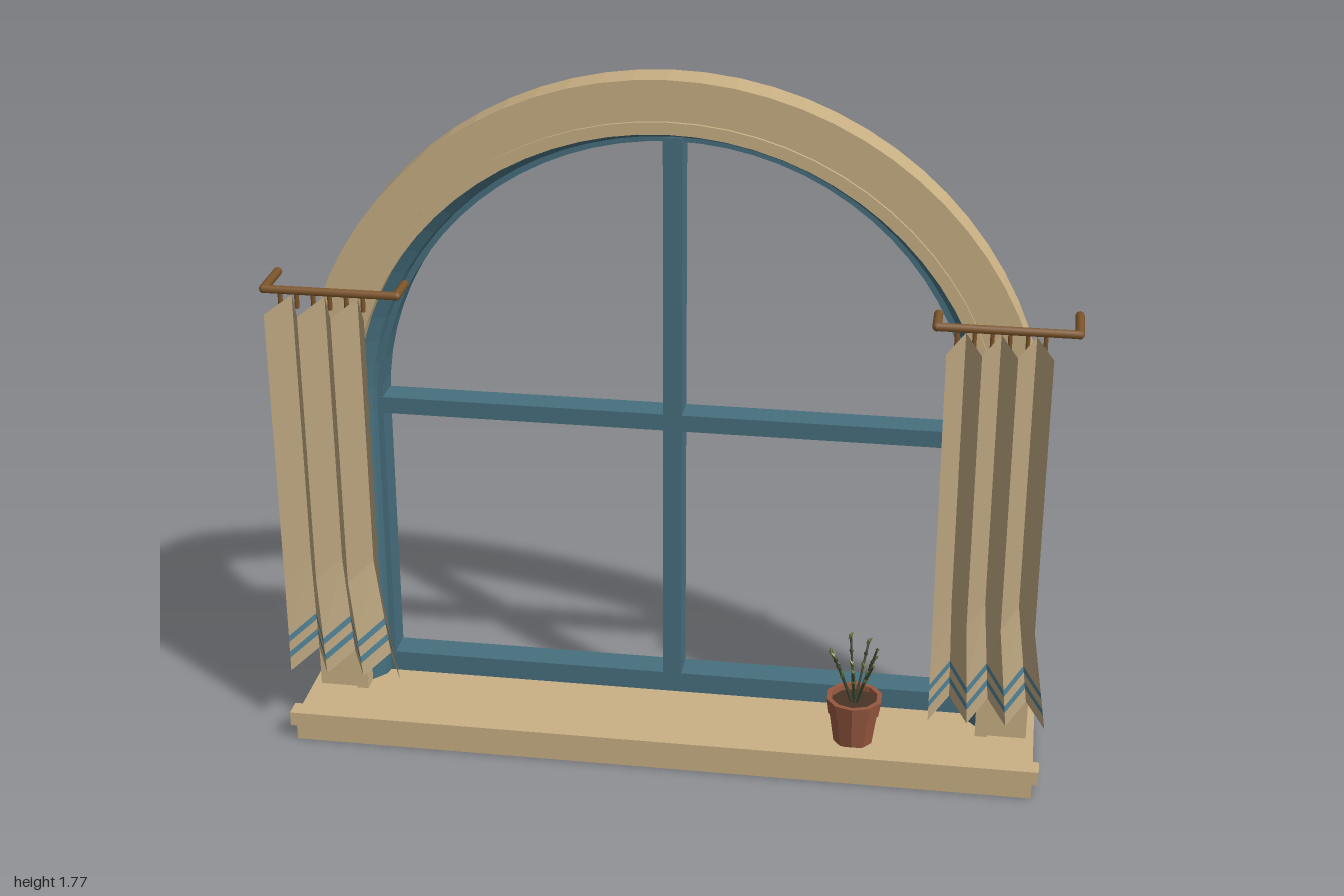
import * as THREE from 'three';

const material = (name, color, side = THREE.FrontSide) => {
  const m = new THREE.MeshStandardMaterial({ color, side });
  m.name = name;
  return m;
};

export function createModel() {
  const stone = material('sandstone', 0xc9b084);
  const blue = material('blue paint', 0x47707f);
  const cloth = material('curtain cloth', 0xbba580, THREE.DoubleSide);
  const stripe = material('curtain stripe', 0x4f7f92, THREE.DoubleSide);
  const bronze = material('bronze', 0x7d552a);
  const clay = material('terracotta', 0x96573f);
  const soilMat = material('soil', 0x4a3527);
  const stemMat = material('dark stem', 0x3c4630);
  const leafMat = material('leaf green', 0x66743f);

  const model = new THREE.Group();
  model.name = 'archedWindow';

  const add = (parent, name, geometry, mat, x = 0, y = 0, z = 0) => {
    const mesh = new THREE.Mesh(geometry, mat);
    mesh.name = name;
    mesh.position.set(x, y, z);
    parent.add(mesh);
    return mesh;
  };
  // box given by its two extreme corners
  const box = (parent, name, mat, [x0, y0, z0], [x1, y1, z1]) =>
    add(parent, name, new THREE.BoxGeometry(x1 - x0, y1 - y0, z1 - z0), mat,
      (x0 + x1) / 2, (y0 + y1) / 2, (z0 + z1) / 2);
  const flat = (geometry) => {
    const g = geometry.index ? geometry.toNonIndexed() : geometry;
    g.computeVertexNormals();
    return g;
  };

  // sheet through rows of points; the rows must have equal length
  const loft = (rows, closed) => {
    const n = rows[0].length, pos = [], index = [];
    rows.forEach((row) => row.forEach((p) => pos.push(...p)));
    for (let i = 0; i < rows.length - 1; i++) {
      for (let j = 0; j < (closed ? n : n - 1); j++) {
        const a = i * n + j, b = i * n + (j + 1) % n;
        index.push(a, b, b + n, a, b + n, a + n);
      }
    }
    const g = new THREE.BufferGeometry();
    g.setAttribute('position', new THREE.Float32BufferAttribute(pos, 3));
    g.setIndex(index);
    return flat(g);
  };

  // profile of [radius, z] swept up one leg, over the arch and down the other
  const SPRING = 0.84, ARC = 36;
  const archSweep = (name, profile, mat) => {
    const rows = [profile.map(([r, z]) => [r, 0.06, z])];
    for (let i = 0; i <= ARC; i++) {
      const a = (i / ARC) * Math.PI;
      rows.push(profile.map(([r, z]) => [r * Math.cos(a), SPRING + r * Math.sin(a), z]));
    }
    rows.push(profile.map(([r, z]) => [-r, 0.06, z]));
    return add(model, name, loft(rows, true), mat);
  };

  // sill and its front lip
  box(model, 'sill', stone, [-0.95, 0, -0.185], [0.95, 0.07, 0.18]);
  box(model, 'sillLip', stone, [-0.965, 0.042, 0.136], [0.965, 0.08, 0.185]);

  // stone surround and inner moulding
  archSweep('outerSurround', [[0.93, 0.01], [0.93, -0.08], [0.825, -0.08], [0.825, 0.01]], stone);
  archSweep('innerMoulding', [[0.83, 0.018], [0.83, -0.11], [0.8, -0.11], [0.8, 0.018]], stone);

  // painted frame with a bevelled front, and its bars
  archSweep('windowFrame', [[0.8, -0.03], [0.8, -0.11], [0.815, -0.11], [0.815, -0.17],
    [0.75, -0.17], [0.75, -0.09], [0.765, -0.09], [0.77, -0.065]], blue);
  box(model, 'bottomRail', blue, [-0.76, 0.06, -0.168], [0.76, 0.125, -0.09]);
  box(model, 'verticalBar', blue, [-0.024, 0.1, -0.165], [0.024, 1.6, -0.085]);
  box(model, 'crossBar', blue, [-0.76, 0.828, -0.162], [0.76, 0.872, -0.088]);

  // pleated curtain: flares sideways below the knee, front folds hang lower
  const FOLDS = 6, KNEE = 0.45, HEM = 0.18;
  const pleatRow = (y) => {
    const flare = Math.max(0, (KNEE - y) / (KNEE - HEM));
    const lean = 0.012 * Math.min(1, (1.18 - y) / (1.18 - KNEE));
    return Array.from({ length: FOLDS + 1 }, (_, i) => {
      const back = i % 2;
      return [i * (0.25 + 0.04 * flare) / FOLDS, y + back * 0.018,
        (back ? 0.054 : 0.152) - lean];
    });
  };
  const makeCurtain = (name, x) => {
    const curtain = new THREE.Group();
    curtain.name = name;
    curtain.position.x = x;
    const levels = [HEM, 0.218, 0.236, 0.264, 0.282, KNEE, 1.18];
    levels.slice(0, -1).forEach((y, i) => {
      const striped = i === 1 || i === 3;
      add(curtain, striped ? 'hemStripe' : 'curtainPanel',
        loft([pleatRow(y), pleatRow(levels[i + 1])], false), striped ? stripe : cloth);
    });
    // hooks up to the rod
    for (let i = 0; i < FOLDS; i++) {
      add(curtain, 'curtainHook', new THREE.CylinderGeometry(0.006, 0.006, 0.045, 6), bronze,
        (i + 0.5) * 0.25 / FOLDS, 1.196, 0.08);
    }
    model.add(curtain);
  };
  makeCurtain('rightCurtain', -0.968);
  makeCurtain('leftCurtain', 0.682);

  // bent curtain rods
  const up = new THREE.Vector3(0, 1, 0);
  for (const s of [-1, 1]) {
    const rod = new THREE.Group();
    rod.name = s > 0 ? 'leftRod' : 'rightRod';
    const path = [[0.989, -0.045], [0.989, 0.079], [0.655, 0.079], [0.655, -0.005]]
      .map(([x, z]) => new THREE.Vector3(s * x, 1.219, z));
    for (let i = 0; i < 3; i++) {
      const d = path[i + 1].clone().sub(path[i]);
      const mesh = add(rod, 'rodSection', new THREE.CylinderGeometry(0.011, 0.011, d.length(), 8), bronze);
      mesh.position.copy(path[i]).addScaledVector(d, 0.5);
      mesh.quaternion.setFromUnitVectors(up, d.normalize());
    }
    for (const p of path.slice(1, 3)) {
      add(rod, 'rodElbow', new THREE.SphereGeometry(0.011, 8, 6), bronze, p.x, p.y, p.z);
    }
    model.add(rod);
  }

  // flower pot
  const plant = new THREE.Group();
  plant.name = 'pottedPlant';
  plant.position.set(0.493, 0, 0.083);
  const potProfile = [[0, 0.075], [0.051, 0.075], [0.063, 0.158], [0.067, 0.158],
    [0.073, 0.2], [0.06, 0.2], [0.058, 0.18]].map(([r, y]) => new THREE.Vector2(r, y));
  add(plant, 'pot', flat(new THREE.LatheGeometry(potProfile, 10)), clay);
  add(plant, 'soil', new THREE.CylinderGeometry(0.06, 0.058, 0.02, 10), soilMat, 0, 0.176, 0);

  // fanned stems with small leaves
  const STEMS = 9;
  for (let i = 0; i < STEMS; i++) {
    const a = (i / STEMS) * Math.PI * 2 + 0.2;
    const reach = 0.055 + 0.022 * (i % 2), top = 0.345 - 0.022 * (i % 3);
    const at = (r, y) => new THREE.Vector3(Math.cos(a) * r, y, Math.sin(a) * r);
    const curve = new THREE.QuadraticBezierCurve3(at(0.008, 0.18), at(reach * 0.45, 0.25), at(reach, top));
    add(plant, 'stem', new THREE.TubeGeometry(curve, 4, 0.0028, 4), stemMat);
    [0.62, 0.8, 1].forEach((t, k) => {
      const p = curve.getPoint(t);
      const leaf = add(plant, 'leaf', new THREE.OctahedronGeometry(0.011), k === 1 ? stemMat : leafMat, p.x, p.y, p.z);
      leaf.scale.set(0.5, 1.1, 0.5);
      const side = new THREE.Vector3(-Math.sin(a), 0, Math.cos(a)).multiplyScalar((k - 1) * 0.7);
      leaf.quaternion.setFromUnitVectors(up, curve.getTangent(t).add(side).normalize());
    });
  }
  model.add(plant);

  return model;
}
